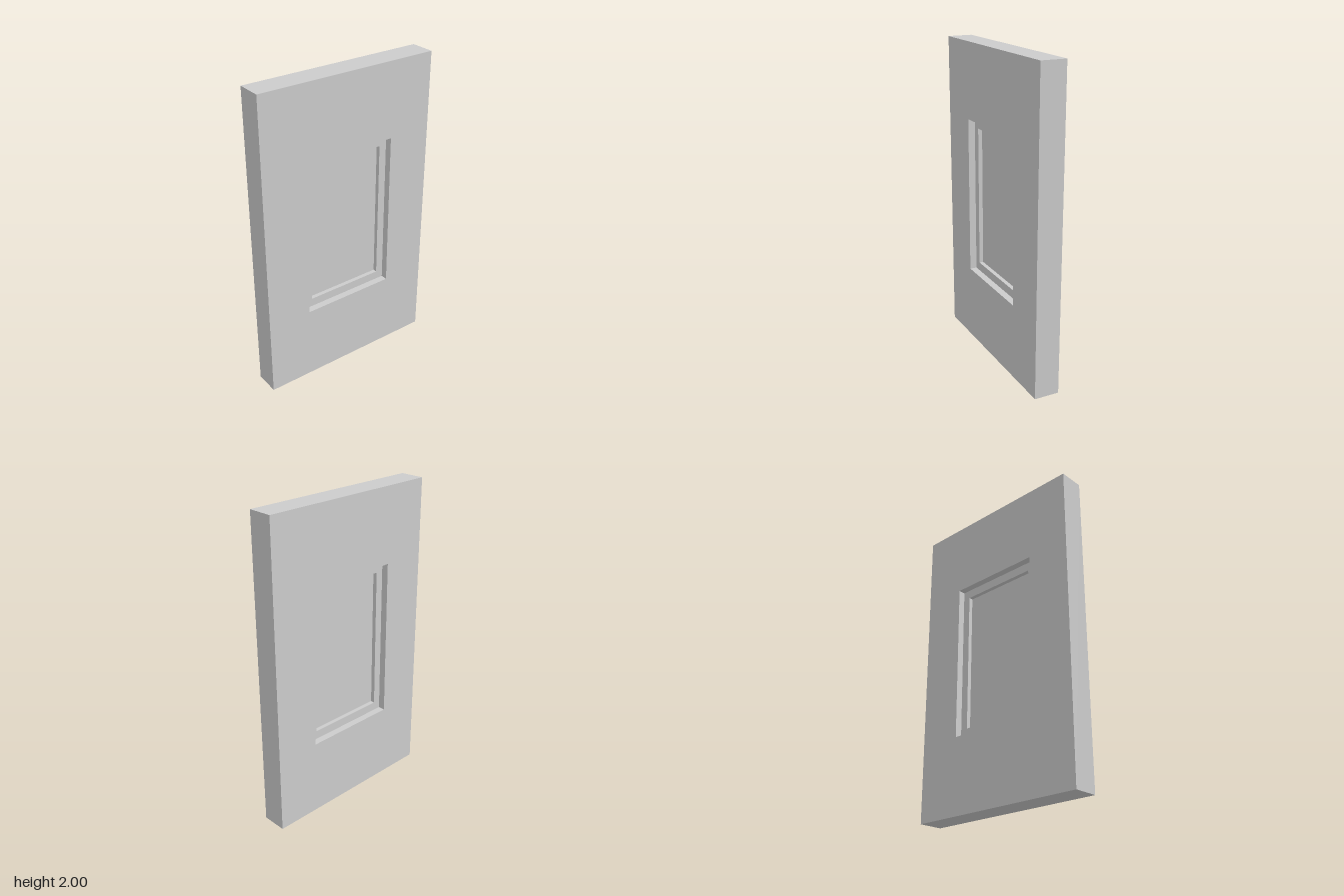
import * as THREE from 'three';

const material = new THREE.MeshStandardMaterial({ color: 0xcccccc, flatShading: true });

// Corner points of an upright rectangle
const rect = (halfW, y0, y1) => [
  new THREE.Vector2(-halfW, y0), new THREE.Vector2(halfW, y0),
  new THREE.Vector2(halfW, y1), new THREE.Vector2(-halfW, y1),
];

// Rectangular slab with a rectangular hole, centred on z = 0
function ring(name, outer, inner, depth) {
  const shape = new THREE.Shape(outer);
  shape.holes.push(new THREE.Path(inner));
  const geometry = new THREE.ExtrudeGeometry(shape, { depth, bevelEnabled: false });
  geometry.translate(0, 0, -depth / 2);
  const mesh = new THREE.Mesh(geometry, material);
  mesh.name = name;
  return mesh;
}

export function createModel() {
  const group = new THREE.Group();
  group.name = 'wallWithWindow';

  const opening = rect(0.31, 0.49, 1.515);
  const paneEdge = rect(0.26, 0.545, 1.46);

  // Wall panel with the window opening, and the thinner frame set inside it
  group.add(ring('wall', rect(0.6, 0, 2), opening, 0.16));
  group.add(ring('windowFrame', opening, paneEdge, 0.07));

  // Thin pane recessed on both sides of the frame
  const pane = new THREE.Mesh(new THREE.BoxGeometry(0.52, 0.915, 0.016), material);
  pane.name = 'windowPane';
  pane.position.y = 1.0025;
  group.add(pane);

  return group;
}
